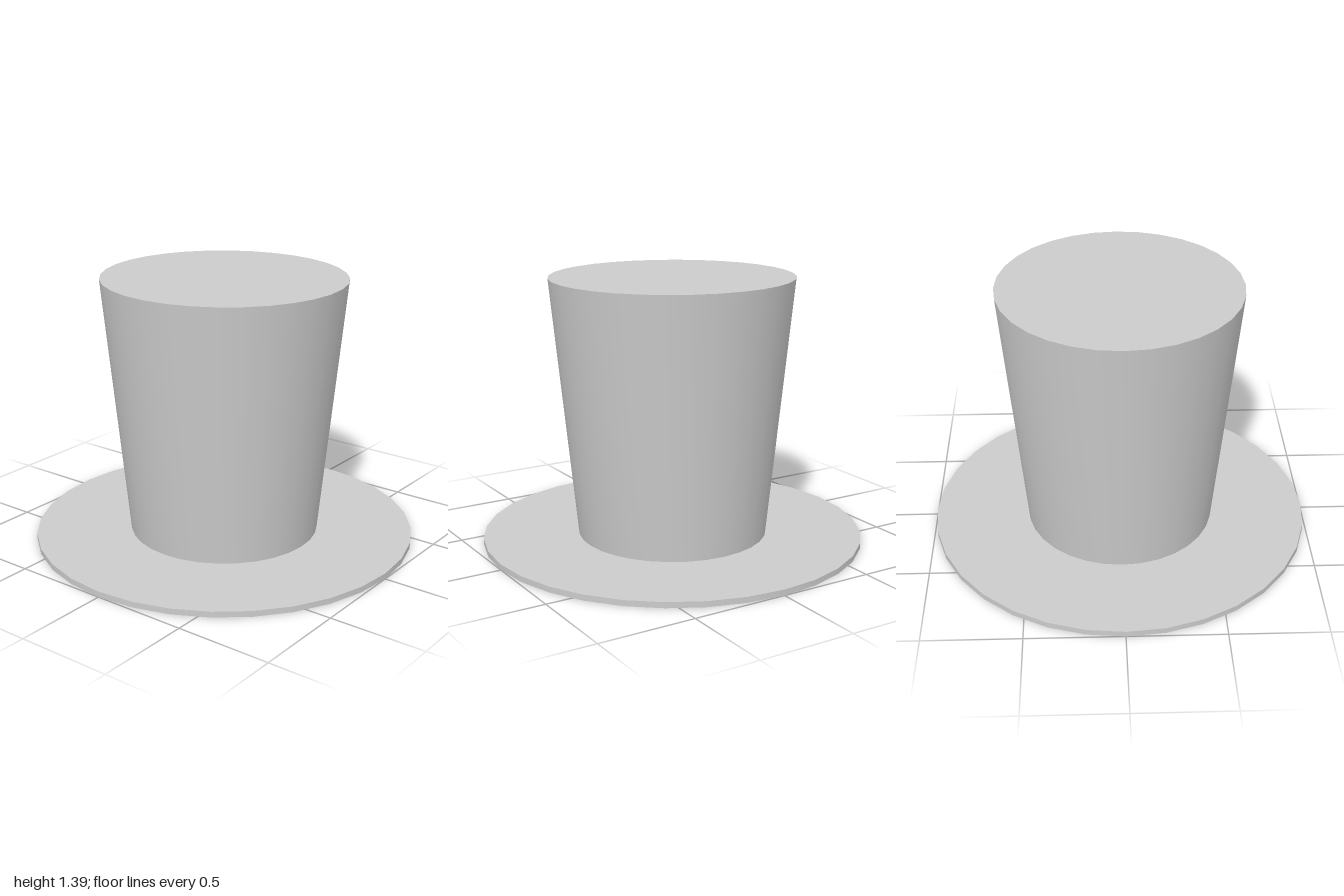
import * as THREE from 'three';
import { toCreasedNormals } from 'three/addons/utils/BufferGeometryUtils.js';

const SIDES = 32;
const HEIGHT = 1.39;
const BRIM = 0.03;

const material = new THREE.MeshStandardMaterial({ color: 0xcccccc });

// Revolve a profile of [radius, y] pairs; the section turns slightly oval towards the top
function turned(name, profile) {
  const geometry = new THREE.LatheGeometry(profile.map(([r, y]) => new THREE.Vector2(r, y)), SIDES);
  const pos = geometry.attributes.position;
  for (let i = 0; i < pos.count; i++) {
    const t = Math.max(0, (pos.getY(i) - BRIM) / (HEIGHT - BRIM));
    pos.setX(i, pos.getX(i) * (1 - 0.021 * t));
  }
  const mesh = new THREE.Mesh(toCreasedNormals(geometry, 0.6), material);
  mesh.name = name;
  return mesh;
}

export function createModel() {
  const hat = new THREE.Group();
  hat.name = 'topHat';
  hat.add(
    // Flat ring around the head opening
    turned('brim', [[0.475, 0], [1, 0], [1, BRIM], [0.498, BRIM]]),
    // Flared outer wall and flat top
    turned('crown', [[0.498, BRIM], [0.637, HEIGHT], [0, HEIGHT]]),
    // Hollow inside, open at the bottom
    turned('lining', [[0, HEIGHT - 0.03], [0.61, HEIGHT - 0.03], [0.475, BRIM], [0.475, 0]]),
  );
  return hat;
}
